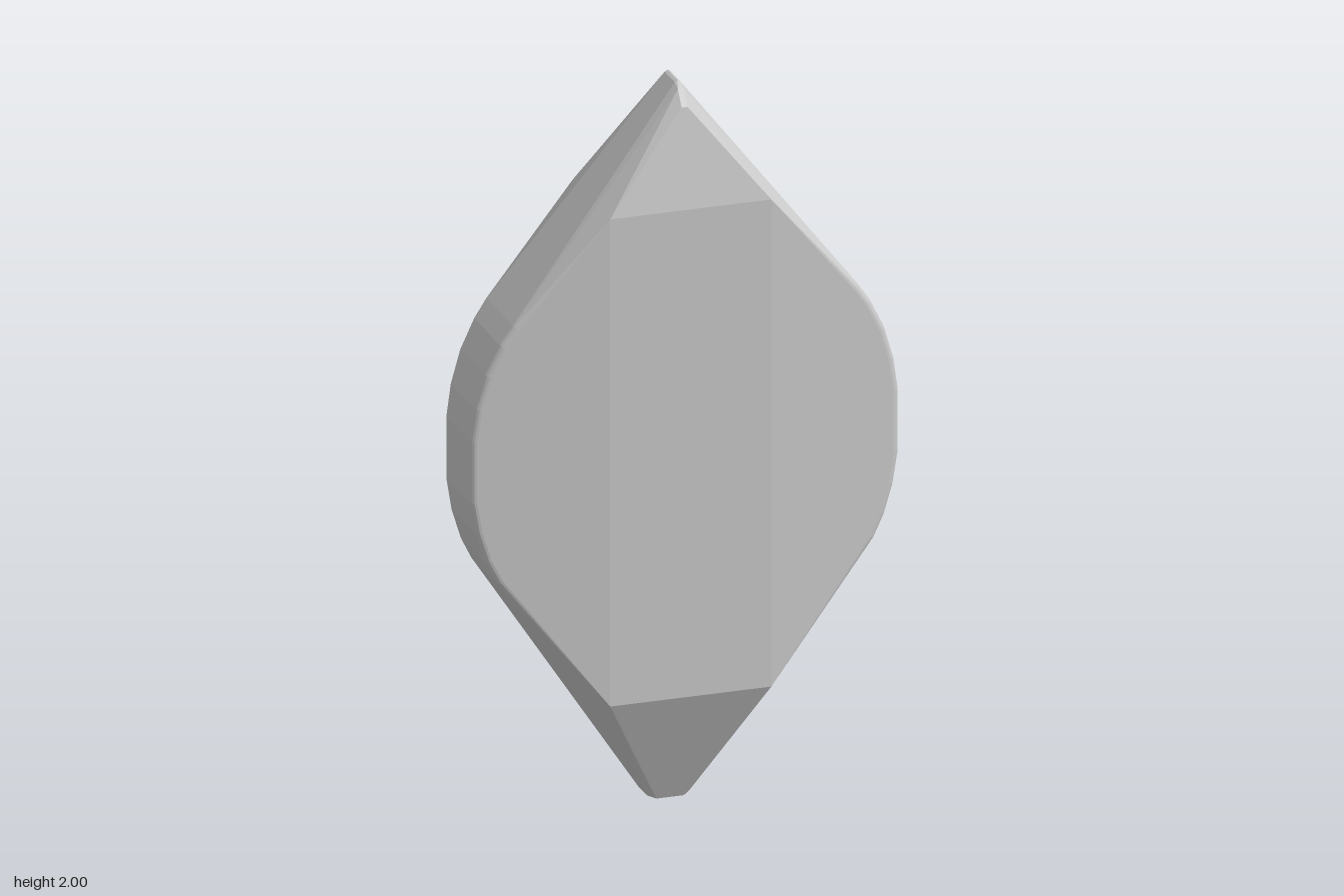
import * as THREE from 'three';
import { ConvexGeometry } from 'three/addons/geometries/ConvexGeometry.js';

export function createModel() {
  const group = new THREE.Group();
  const points = [];
  const add = (x, y, z) => points.push(new THREE.Vector3(x, y, z));

  // Curved outline of one side rim, from bottom to top
  const rim = [
    [0.515, 0.69], [0.545, 0.75], [0.57, 0.83], [0.585, 0.92],
    [0.585, 1.09], [0.572, 1.18], [0.545, 1.27], [0.505, 1.35], [0.47, 1.4],
  ];
  // Depth of the broad faces, thinning from the flat centre to the rim
  const faceDepth = (x) => 0.15 - 0.125 * Math.max(0, x - 0.22);
  // Rounded bevel between rim and face
  const bevel = [0, 0.25, 0.5, 0.75, 1].map((t) => t * Math.PI / 2);

  for (const sx of [-1, 1]) {
    for (const sz of [-1, 1]) {
      for (const [x, y] of rim) {
        for (const a of bevel) {
          const k = 1 - 0.028 * (1 - Math.cos(a));
          add(sx * x * k, 1 + (y - 1) * k, sz * (faceDepth(x * k) - 0.016 * (1 - Math.sin(a))));
        }
      }
      // Corners of the flat centre panel
      add(sx * 0.22, 0.33, sz * 0.15);
      add(sx * 0.22, 1.68, sz * 0.15);
    }
    // Narrow ridge at the top, running front to back
    const s = sx * 0.008;
    add(s, 1.995, 0.045);
    add(s, 1.985, 0.07);
    add(s, 1.945, 0.1);
    add(s, 1.995, -0.035);
    add(s, 1.96, -0.065);
    add(s, 1.88, -0.11);
  }
  add(0, 2, 0.045);
  add(0, 2, -0.035);

  // Chisel edge at the bottom, running left to right
  for (const [x, y] of [[-0.09, 0.035], [-0.07, 0.012], [-0.045, 0], [0.03, 0], [0.045, 0.012], [0.058, 0.03]]) {
    add(x, y, 0.006);
    add(x, y, -0.006);
  }

  const gem = new THREE.Mesh(
    new ConvexGeometry(points),
    new THREE.MeshStandardMaterial({ color: 0xcccccc, flatShading: true }),
  );
  gem.name = 'gemBody';
  group.add(gem);
  return group;
}
